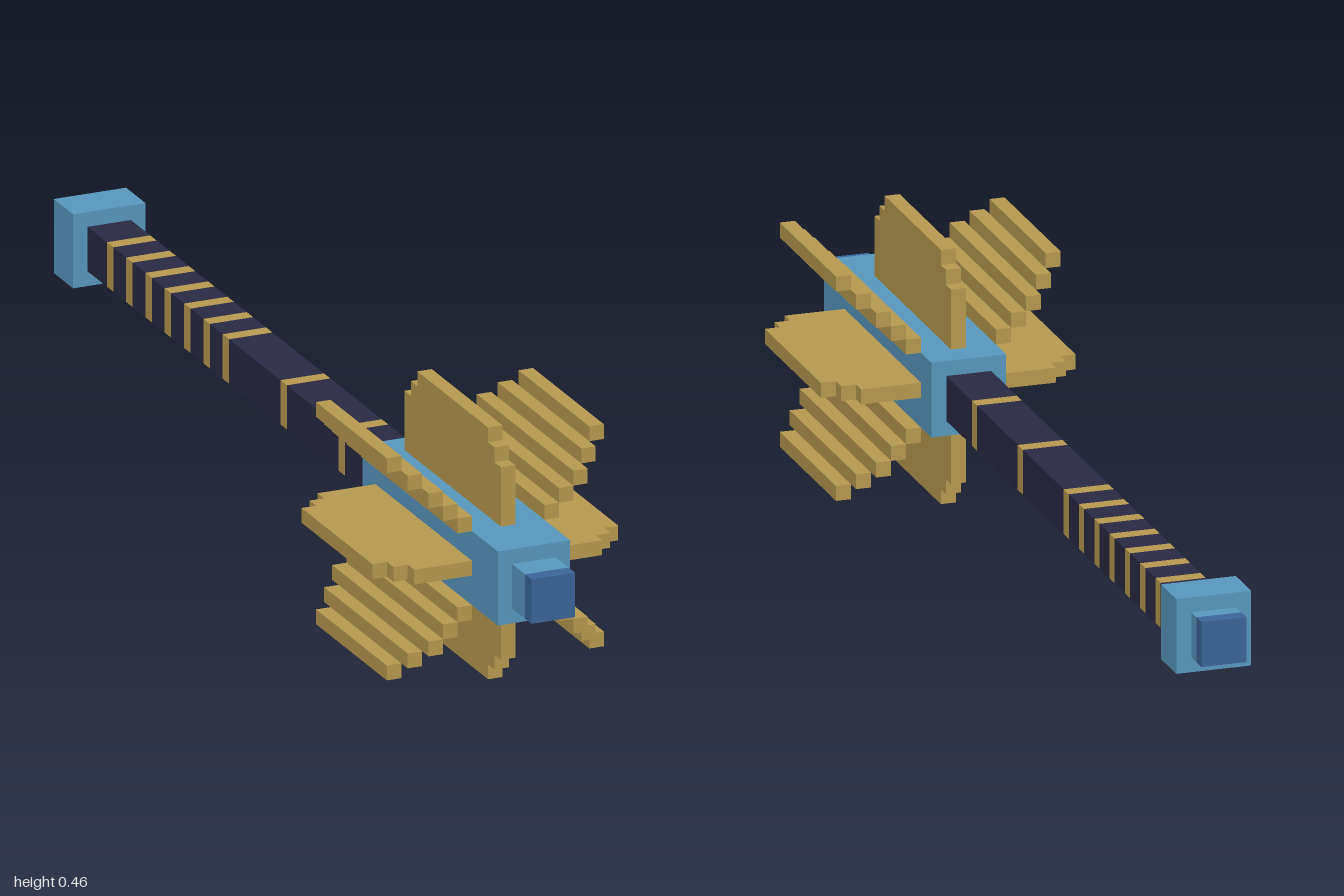
import * as THREE from 'three';

const V = 2 / 74;        // one voxel
const CY = 8.5 * V;      // height of the shaft axis

function material(name, color) {
  const m = new THREE.MeshStandardMaterial({ color });
  m.name = name;
  return m;
}

export function createModel() {
  const gold = material('gold', 0xb99b51);
  const blue = material('steel blue', 0x5899c0);
  const deepBlue = material('deep blue', 0x3b679b);
  const navy = material('navy', 0x2a2a44);

  const model = new THREE.Group();
  model.name = 'mace';

  // Box in voxels: centre (x, y) from the axis, size (w, h), from..to counted back from the front tip
  function box(parent, name, mat, x, y, w, h, from, to) {
    const mesh = new THREE.Mesh(new THREE.BoxGeometry(w * V, h * V, (to - from) * V), mat);
    mesh.name = name;
    mesh.position.set(x * V, CY + y * V, 1 - ((from + to) / 2) * V);
    parent.add(mesh);
  }

  // Head with stepped tip
  box(model, 'frontTip', deepBlue, 0, 0, 3, 3, 0, 1);
  box(model, 'frontNeck', blue, 0, 0, 3, 3, 1, 3);
  box(model, 'head', blue, 0, 0, 5, 5, 3, 24);

  // Grip: navy sections separated by gold bands
  const grip = new THREE.Group();
  grip.name = 'grip';
  model.add(grip);
  let start = 24;
  for (const band of [29, 38, 47, 50, 53, 56, 59, 62, 65]) {
    box(grip, 'gripSection', navy, 0, 0, 3, 3, start, band);
    box(grip, 'gripBand', gold, 0, 0, 3, 3, band, band + 1);
    start = band + 1;
  }
  box(grip, 'gripSection', navy, 0, 0, 3, 3, start, 69);

  // Pommel
  box(model, 'pommel', blue, 0, 0, 5, 5, 69, 72);
  box(model, 'pommelNeck', blue, 0, 0, 3, 3, 72, 73);
  box(model, 'pommelTip', deepBlue, 0, 0, 3, 3, 73, 74);

  // Four straight flanges, stepped shorter at the outer edge
  for (const [dx, dy] of [[1, 0], [-1, 0], [0, 1], [0, -1]]) {
    const flange = new THREE.Group();
    flange.name = 'flange';
    model.add(flange);
    for (const [r, depth, inset] of [[4.5, 4, 0], [7, 1, 1], [8, 1, 2]]) {
      box(flange, 'flangeStep', gold, dx * r, dy * r,
        dx ? depth : 1, dy ? depth : 1, 7 + inset, 22 - inset);
    }
  }

  // Four diagonal flanges made of corner-to-corner rods
  for (const sx of [-1, 1]) {
    for (const sy of [-1, 1]) {
      const flange = new THREE.Group();
      flange.name = 'diagonalFlange';
      model.add(flange);
      for (let i = 3; i <= 7; i++) {
        const inset = Math.max(0, i - 5);
        box(flange, 'flangeRod', gold, sx * i, sy * i, 1, 1, 7 + inset, 22 - inset);
      }
    }
  }

  return model;
}
